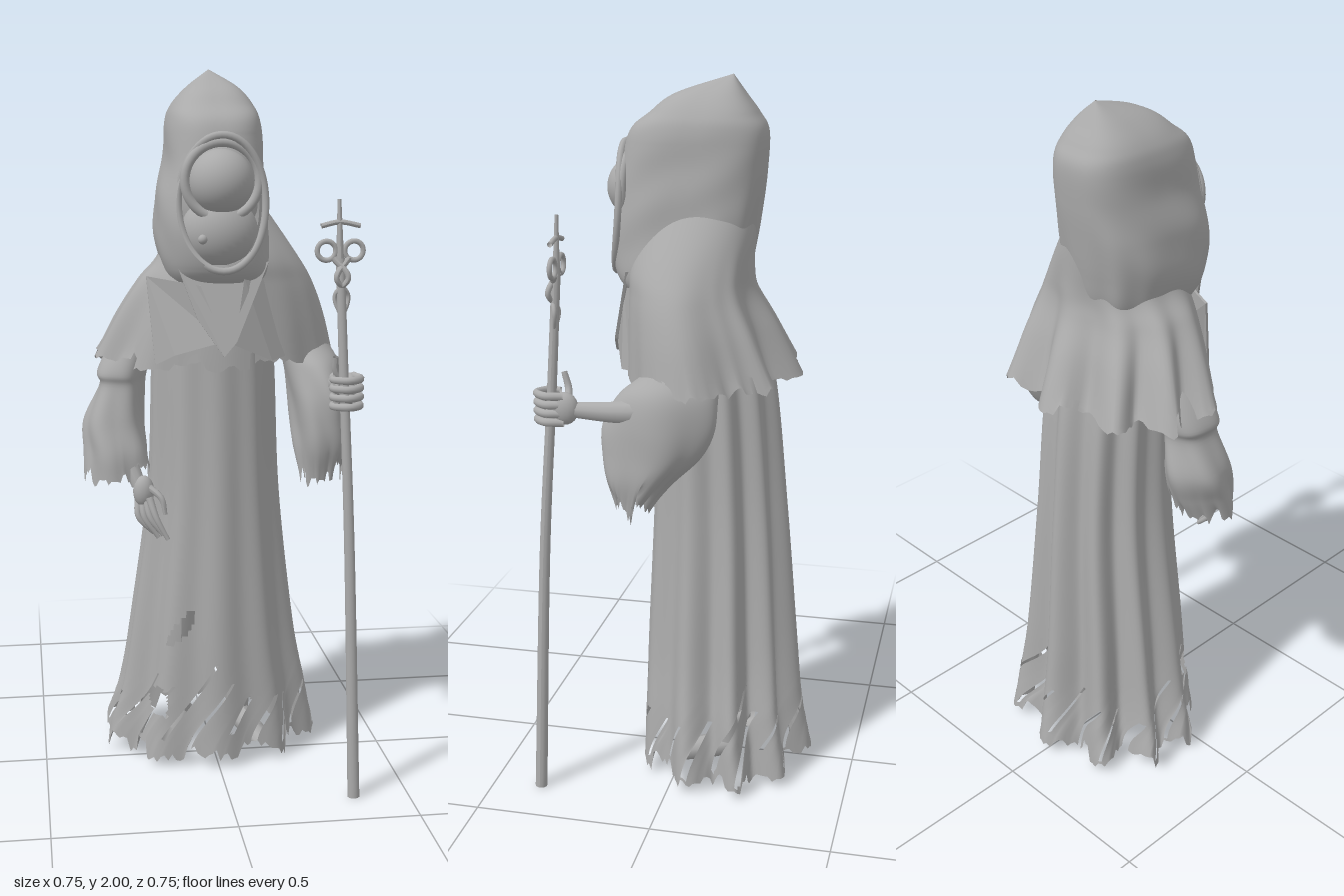
import * as THREE from 'three';
import { mergeVertices } from 'three/addons/utils/BufferGeometryUtils.js';

const grey = new THREE.MeshStandardMaterial({ color: 0xaaaaaa, side: THREE.DoubleSide });
grey.name = 'stone grey';
const V = (x, y, z) => new THREE.Vector3(x, y, z);
const hash = (i) => { const s = Math.sin(i * 12.9898 + 4.1) * 43758.5453; return s - Math.floor(s); };
const smooth = THREE.MathUtils.smoothstep;

function add(parent, name, geo, pos = [0, 0, 0], scale = [1, 1, 1]) {
  const m = new THREE.Mesh(geo, grey);
  m.name = name;
  m.position.set(...pos);
  m.scale.set(...scale);
  parent.add(m);
  return m;
}

// Cloth shell through rings [y, xMin, xMax, zFront, zBack], listed from top to hem.
// power: squareness, gap: half width of a front opening, fold: radius factor,
// rag: hem raggedness, shear: twist of the columns, hole: cells to leave out.
function cloth(rings, { rows = 40, cols = 96, power = 2, gap, fold, rag = 0, shear, hole } = {}) {
  const xs = new THREE.CatmullRomCurve3(rings.map((r) => V(r[0], r[1], r[2])), false, 'catmullrom');
  const zs = new THREE.CatmullRomCurve3(rings.map((r) => V(r[0], r[3], r[4])), false, 'catmullrom');
  const pw = (v) => Math.sign(v) * Math.abs(v) ** (2 / power);
  const pos = [], idx = [];
  for (let i = 0; i <= rows; i++) {
    const t = i / rows, a = xs.getPoint(t), b = zs.getPoint(t), y = a.x;
    const cx = (a.y + a.z) / 2, hx = (a.z - a.y) / 2, cz = (b.y + b.z) / 2, hz = (b.y - b.z) / 2;
    const g = gap ? Math.asin(Math.min(1, gap(y) / hx) ** (power / 2)) : 0;
    for (let j = 0; j <= cols; j++) {
      const th = g + (2 * Math.PI - 2 * g) * (j / cols) + (shear ? shear(y) : 0);
      const k = fold ? fold(th, y) : 1;
      const tear = rag * (hash(Math.floor((j % cols) / 3)) * 0.7 + hash((j % cols) + 50) * 0.3 - 0.5);
      pos.push(cx + hx * pw(Math.sin(th)) * k, y + tear * t ** 10, cz + hz * pw(Math.cos(th)) * k);
    }
  }
  for (let i = 0; i < rows; i++) for (let j = 0; j < cols; j++) {
    const a = i * (cols + 1) + j, b = a + cols + 1;
    if (hole && hole(j, pos[3 * a], pos[3 * a + 1], pos[3 * a + 2])) continue;
    idx.push(a, b, b + 1, a, b + 1, a + 1);
  }
  let geo = new THREE.BufferGeometry();
  geo.setAttribute('position', new THREE.Float32BufferAttribute(pos, 3));
  geo.setIndex(idx);
  geo = mergeVertices(geo, 1e-5);
  geo.computeVertexNormals();
  return geo;
}

// Tapered tube through points
function limb(points, r0, r1, seg = 20, sides = 10) {
  const curve = new THREE.CatmullRomCurve3(points.map((p) => V(...p)));
  const geo = new THREE.TubeGeometry(curve, seg, r0, sides);
  const p = geo.attributes.position, v = V(0, 0, 0);
  for (let i = 0; i < p.count; i++) {
    const t = Math.floor(i / (sides + 1)) / seg, c = curve.getPointAt(t);
    v.fromBufferAttribute(p, i).sub(c).multiplyScalar(1 + (r1 / r0 - 1) * t).add(c);
    p.setXYZ(i, v.x, v.y, v.z);
  }
  geo.computeVertexNormals();
  return geo;
}

// Thin flap of cloth, curving back at its sides
function flap(points, z) {
  const geo = new THREE.ExtrudeGeometry(new THREE.Shape(points.map((p) => new THREE.Vector2(...p))),
    { depth: 0.008, bevelEnabled: false });
  const p = geo.attributes.position;
  for (let i = 0; i < p.count; i++)
    p.setZ(i, p.getZ(i) + z - 2.2 * p.getX(i) ** 2 - 0.12 * Math.max(0, p.getY(i) - 1.25));
  geo.computeVertexNormals();
  return geo;
}

export function createModel() {
  const model = new THREE.Group();
  model.name = 'hoodedFigure';

  // Long robe: pleats deepen to the back and hem, which is slit diagonally
  add(model, 'robe', cloth([
    [1.45, -0.15, 0.15, 0.08, -0.17], [1.2, -0.175, 0.185, 0.085, -0.245], [0.8, -0.19, 0.205, 0.1, -0.29],
    [0.4, -0.245, 0.252, 0.12, -0.325], [0.2, -0.28, 0.292, 0.127, -0.345], [0.045, -0.325, 0.325, 0.135, -0.375],
  ], {
    rows: 90, cols: 180, rag: 0.08,
    shear: (y) => 0.65 * smooth(y, 0.03, 0.4),
    fold: (th, y) => {
      const back = (0.5 - 0.5 * Math.cos(th)) ** 0.6, low = 1 - y / 2.4;
      const wave = 0.5 - 0.5 * Math.cos(10 * (th - Math.PI) + 0.4 * Math.sin(3 * th));
      return 1 - low * (0.05 + 0.22 * back) * wave;
    },
    hole: (j, x, y, z) => {
      const s = Math.floor(j / 9), start = 0.03 + 0.1 * hash(s + 9);
      const slit = j % 9 < (hash(s + 3) > 0.6 ? 2 : 1) && y > start && y < start + 0.1 + 0.14 * hash(s + 20);
      const dx = x + 0.11, dy = y - 0.43;
      const tear = z > -0.05 && ((dx - dy * 0.6) / 0.024) ** 2 + (dy / 0.05) ** 2 < 1;
      const tear2 = z > -0.05 && ((x + 0.17) / 0.025) ** 2 + ((y - 0.2) / 0.04) ** 2 < 1;
      return slit || tear || tear2;
    },
  }));

  // Legs and splayed feet under the hem
  for (const s of [-1, 1]) {
    add(model, 'leg', limb([[s * 0.08, 0.7, -0.1], [s * 0.09, 0.4, -0.1], [s * 0.09, 0.06, -0.14]], 0.05, 0.034));
    add(model, 'foot', limb([[s * 0.08, 0.075, -0.17], [s * 0.105, 0.06, -0.09], [s * 0.13, 0.05, -0.01]], 0.038, 0.032));
  }

  // Shoulder cape: drawn in over the staff arm, deeply pleated behind and on the other side
  add(model, 'cape', cloth([
    [1.64, -0.12, 0.135, 0.1, -0.19], [1.5, -0.155, 0.23, 0.15, -0.19], [1.42, -0.22, 0.28, 0.155, -0.205],
    [1.32, -0.285, 0.322, 0.16, -0.26], [1.195, -0.35, 0.358, 0.165, -0.325],
  ], {
    rows: 40, cols: 144, rag: 0.05,
    fold: (th, y) => {
      const back = 0.5 - 0.5 * Math.cos(th), down = smooth(1.6 - y, 0, 0.4);
      const pleat = (0.02 + 0.26 * back) * (1 - smooth(Math.sin(th), 0.55, 0.85));
      const drawnIn = 0.16 * Math.exp(-(((th - 2.05) / 0.3) ** 2));
      return 1 - down * (drawnIn + pleat * (0.5 - 0.5 * Math.cos(10 * (th - Math.PI) + 0.4 * Math.sin(3 * th))));
    },
    hole: (j, x, y) => j % 24 === 5 && y < 1.235,
  }));

  // Pointed collar flaps on the chest
  add(model, 'collarFlap', flap([[-0.12, 1.47], [-0.07, 1.33], [0, 1.23], [0.035, 1.27], [0.13, 1.48]], 0.206));
  add(model, 'sideFlap', flap([[-0.2, 1.44], [-0.18, 1.2], [-0.13, 1.23], [0, 1.27], [-0.06, 1.42]], 0.196));
  add(model, 'sideFlap', flap([[0.06, 1.44], [0.03, 1.26], [0.14, 1.21], [0.19, 1.22], [0.2, 1.44]], 0.196));

  // Pointed hood with an oval face opening
  const opening = (y) => 0.112 * Math.sqrt(Math.max(0, 1 - ((y - 1.64) / 0.18) ** 2));
  add(model, 'hood', cloth([
    [2.0, -0.001, 0.001, -0.119, -0.121], [1.95, -0.07, 0.07, 0.035, -0.155], [1.9, -0.115, 0.11, 0.105, -0.19],
    [1.85, -0.132, 0.126, 0.16, -0.215], [1.75, -0.14, 0.132, 0.185, -0.212], [1.65, -0.163, 0.14, 0.203, -0.2],
    [1.55, -0.168, 0.145, 0.21, -0.185], [1.46, -0.15, 0.15, 0.195, -0.165], [1.4, -0.12, 0.14, 0.14, -0.12],
  ], {
    rows: 80, cols: 96, power: 2.8, gap: opening,
    fold: (th, y) => 1 + 0.012 * Math.sin(th) ** 2 * smooth(1.95 - y, 0, 0.2) * Math.sin(38 * y + 5 * Math.cos(th))
      - 0.02 * smooth(1.75 - y, 0, 0.3) * (0.5 - 0.5 * Math.cos(th)) * (1 - Math.cos(10 * th)),
  }));
  const rim = [];
  for (let i = 0; i < 24; i++) {
    const c = Math.cos((i / 24) * Math.PI * 2), s = Math.sin((i / 24) * Math.PI * 2);
    rim.push(V(0.117 * c, 1.64 + 0.18 * s, 0.188 - 0.012 * s - 0.028 * c * c + 0.012 * c));
  }
  add(model, 'hoodRim', new THREE.TubeGeometry(new THREE.CatmullRomCurve3(rim, true), 72, 0.01, 8, true));

  // Face: one great eye in a ring above a rounded jaw
  add(model, 'head', new THREE.SphereGeometry(1, 32, 24), [0, 1.65, 0.05], [0.115, 0.17, 0.1]);
  add(model, 'eye', new THREE.SphereGeometry(0.088, 40, 28), [0, 1.695, 0.142]);
  add(model, 'eyeRing', new THREE.TorusGeometry(0.101, 0.013, 12, 48), [0, 1.7, 0.165]);
  add(model, 'jaw', new THREE.SphereGeometry(1, 32, 24), [0, 1.56, 0.11], [0.106, 0.1, 0.088]);
  add(model, 'jawStud', new THREE.SphereGeometry(0.013, 16, 12), [-0.055, 1.545, 0.184]);

  // Wide ragged sleeves, starting under the cape
  const creases = (th, y) => 1 - 0.06 * (1 + Math.sin(5 * th + 14 * y)) * smooth(1.25 - y, 0, 0.2);
  add(model, 'rightSleeve', cloth([
    [1.33, -0.22, -0.14, 0.02, -0.1], [1.23, -0.295, -0.17, 0.04, -0.12], [1.16, -0.335, -0.19, 0.055, -0.12],
    [1.12, -0.33, -0.195, 0.05, -0.11], [1.02, -0.375, -0.195, 0.07, -0.125], [0.94, -0.375, -0.185, 0.095, -0.1],
    [0.88, -0.375, -0.18, 0.1, -0.07],
  ], { cols: 72, rag: 0.09, fold: creases }));
  add(model, 'leftSleeve', cloth([
    [1.33, 0.15, 0.27, 0.0, -0.11], [1.24, 0.18, 0.33, 0.06, -0.13], [1.18, 0.2, 0.36, 0.13, -0.145],
    [1.1, 0.21, 0.372, 0.175, -0.14], [1.02, 0.215, 0.375, 0.18, -0.1], [0.95, 0.22, 0.375, 0.17, -0.03],
    [0.88, 0.235, 0.36, 0.14, 0.04],
  ], { cols: 72, rag: 0.11, fold: creases }));

  // Right hand hanging down with long fingers
  const rightHand = new THREE.Group();
  rightHand.name = 'rightHand';
  model.add(rightHand);
  add(rightHand, 'forearm', limb([[-0.28, 1.1, 0], [-0.26, 0.95, 0.04], [-0.225, 0.85, 0.08]], 0.034, 0.02));
  add(rightHand, 'palm', new THREE.SphereGeometry(1, 16, 12), [-0.212, 0.835, 0.09], [0.03, 0.045, 0.028]);
  for (let i = 0; i < 4; i++)
    add(rightHand, 'finger', limb([[-0.225 + i * 0.009, 0.82, 0.075 + i * 0.012], [-0.228 + i * 0.016, 0.765, 0.1 + i * 0.011],
      [-0.185 + i * 0.012, 0.715 - 0.01 * (i % 2), 0.1 + i * 0.014]], 0.011, 0.006));
  add(rightHand, 'thumb', limb([[-0.2, 0.85, 0.1], [-0.165, 0.82, 0.125], [-0.155, 0.775, 0.13]], 0.011, 0.006));

  // Staff, leaning back toward the hand, with a cross and rings on top
  const staff = new THREE.Group();
  staff.name = 'staff';
  model.add(staff);
  add(staff, 'shaft', limb([[0.345, 0.005, 0.362], [0.325, 0.75, 0.335], [0.308, 1.2, 0.308], [0.297, 1.5, 0.292]], 0.017, 0.012, 40, 14));
  add(staff, 'spike', limb([[0.297, 1.48, 0.292], [0.295, 1.57, 0.29], [0.293, 1.655, 0.288]], 0.011, 0.005));
  add(staff, 'crossBar', limb([[0.245, 1.585, 0.29], [0.295, 1.595, 0.29], [0.35, 1.585, 0.29]], 0.007, 0.007));
  for (const s of [-1, 1]) {
    add(staff, 'ring', new THREE.TorusGeometry(0.025, 0.007, 8, 28), [0.297 + s * 0.037, 1.52, 0.29]);
    add(staff, 'vine', limb([[0.3 + s * 0.02, 1.5, 0.29], [0.3 - s * 0.016, 1.45, 0.31],
      [0.302 + s * 0.018, 1.4, 0.292], [0.303, 1.34, 0.3]], 0.009, 0.005, 28));
  }

  // Left arm reaching forward to grip the staff
  const leftHand = new THREE.Group();
  leftHand.name = 'leftHand';
  model.add(leftHand);
  add(leftHand, 'forearm', limb([[0.31, 1.15, -0.02], [0.325, 1.14, 0.12], [0.328, 1.14, 0.24]], 0.04, 0.022));
  add(leftHand, 'palm', new THREE.SphereGeometry(1, 16, 12), [0.335, 1.145, 0.265], [0.026, 0.045, 0.038]);
  for (let i = 0; i < 4; i++) {
    const y = 1.108 + i * 0.024;
    add(leftHand, 'finger', limb([[0.345, y, 0.265], [0.352, y, 0.315], [0.318, y, 0.348],
      [0.278, y, 0.325], [0.282, y, 0.292]], 0.012, 0.009, 28));
  }
  add(leftHand, 'thumb', limb([[0.325, 1.16, 0.26], [0.298, 1.19, 0.265], [0.292, 1.235, 0.278]], 0.012, 0.008));

  return model;
}
